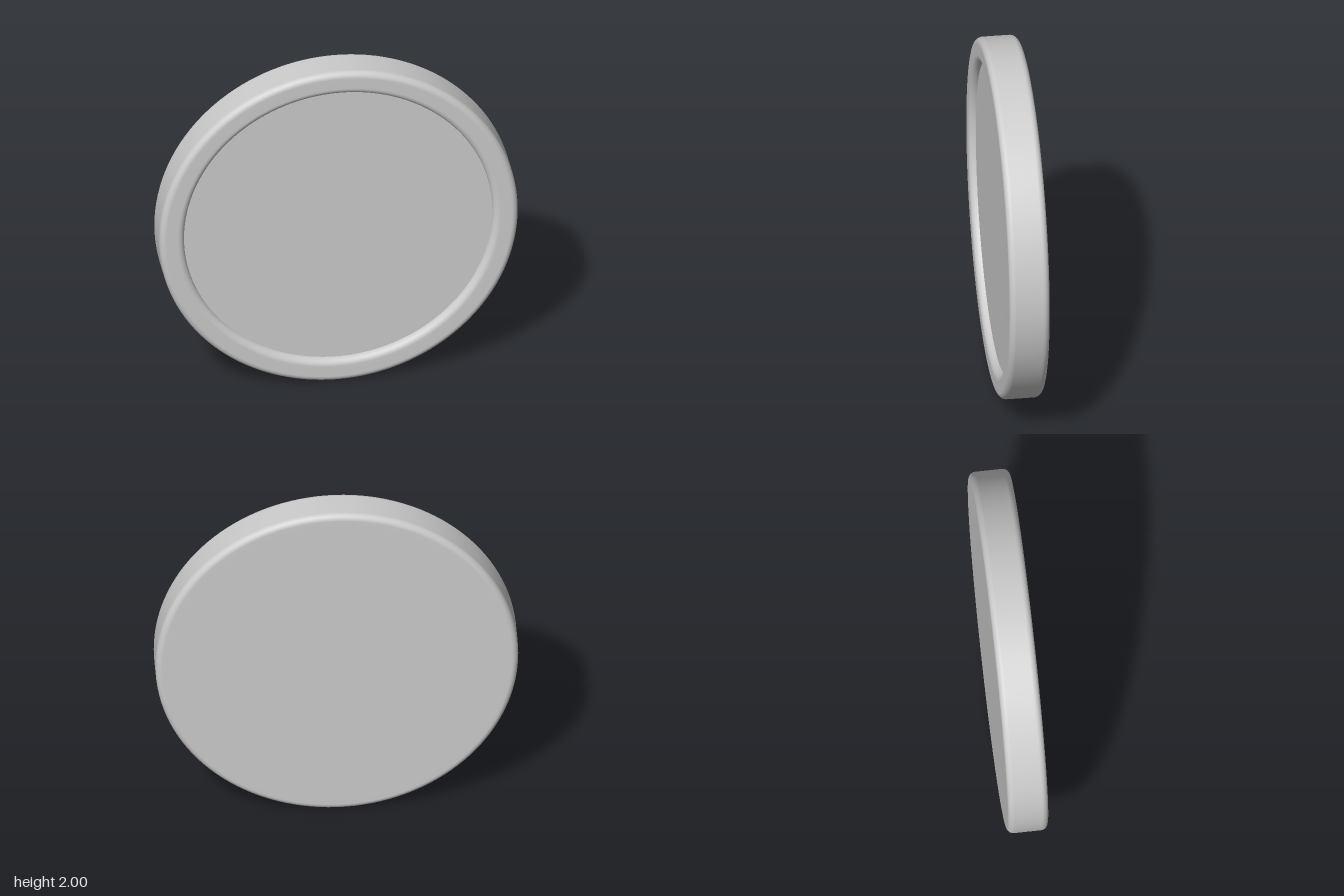
import * as THREE from 'three';

const SEGMENTS = 128;
const HALF_DEPTH = 0.112, FLOOR_Z = 0.072, FLOOR_RADIUS = 0.86;
const OUTER_ROUND = 0.036, INNER_ROUND = HALF_DEPTH - FLOOR_Z;

// Points along a rounded corner in the (radius, depth) plane
function corner(cx, cy, r, from, to, steps = 8) {
  return Array.from({ length: steps + 1 }, (_, i) => {
    const a = from + (to - from) * i / steps;
    return new THREE.Vector2(cx + r * Math.cos(a), cy + r * Math.sin(a));
  });
}

export function createModel() {
  const group = new THREE.Group();
  group.name = 'roundDish';
  const material = new THREE.MeshStandardMaterial({ color: 0xcccccc });
  const edge = HALF_DEPTH - OUTER_ROUND;

  // Solid back, outer wall and rounded rim, turned around the z axis
  const profile = [
    new THREE.Vector2(0, -HALF_DEPTH),
    new THREE.Vector2(0.93, -HALF_DEPTH),
    ...corner(1 - OUTER_ROUND, -edge, OUTER_ROUND, -Math.PI / 2, 0),
    ...corner(1 - OUTER_ROUND, edge, OUTER_ROUND, 0, Math.PI / 2),
    ...corner(FLOOR_RADIUS + INNER_ROUND, FLOOR_Z, INNER_ROUND, Math.PI / 2, Math.PI),
  ];
  const bodyGeometry = new THREE.LatheGeometry(profile, SEGMENTS);
  bodyGeometry.rotateX(Math.PI / 2);
  const body = new THREE.Mesh(bodyGeometry, material);
  body.name = 'bodyAndRim';

  // Flat recessed face inside the rim
  const face = new THREE.Mesh(new THREE.CircleGeometry(FLOOR_RADIUS, SEGMENTS), material);
  face.name = 'recessedFace';
  face.position.z = FLOOR_Z;

  group.add(body, face);
  for (const part of group.children) part.position.y = 1;
  return group;
}
